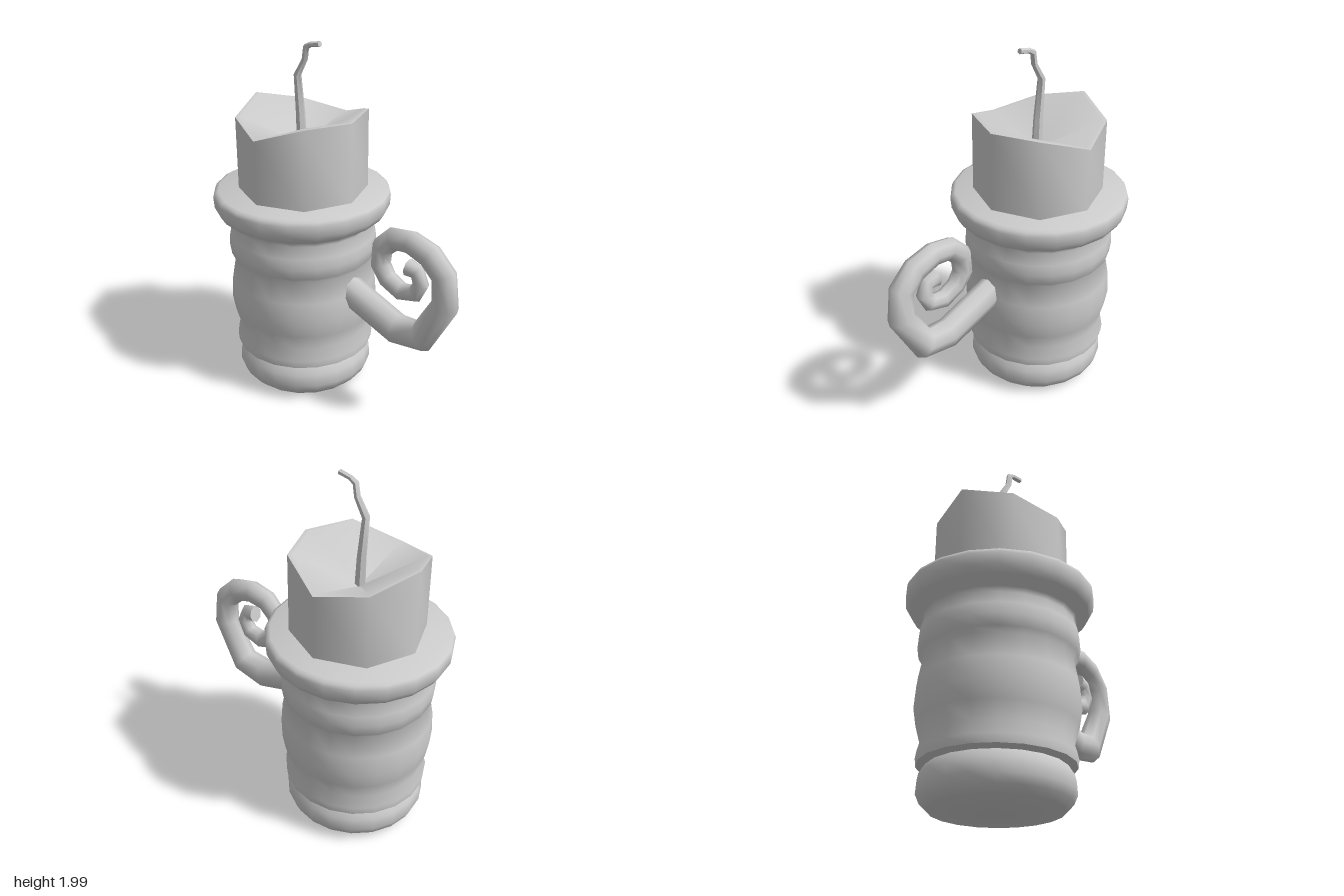
import * as THREE from 'three';
import { toCreasedNormals } from 'three/addons/utils/BufferGeometryUtils.js';

const AXIS_X = -0.29; // centre line of holder and candle

function makeMesh(name, geometry, crease) {
  const material = new THREE.MeshStandardMaterial({ color: 0xcccccc });
  const mesh = new THREE.Mesh(toCreasedNormals(geometry, crease), material);
  mesh.name = name;
  return mesh;
}

// Joins equal rings of points; caps either end with a fan to a centre point
function skin(rings, startCentre, endCentre) {
  const n = rings[0].length;
  const points = rings.flat();
  const index = [];
  for (let i = 0; i < rings.length - 1; i++) {
    for (let j = 0; j < n; j++) {
      const a = i * n + j, b = i * n + (j + 1) % n;
      index.push(a, b, a + n, b, b + n, a + n);
    }
  }
  const last = (rings.length - 1) * n;
  if (startCentre) {
    const c = points.push(startCentre) - 1;
    for (let j = 0; j < n; j++) index.push(c, (j + 1) % n, j);
  }
  if (endCentre) {
    const c = points.push(endCentre) - 1;
    for (let j = 0; j < n; j++) index.push(c, last + j, last + (j + 1) % n);
  }
  const geometry = new THREE.BufferGeometry().setFromPoints(points);
  geometry.setIndex(index);
  return geometry;
}

// Tapering tube along a path of [x, y, radius] in the plane z
function taperedTube(path, sides, z, depthScale) {
  const at = i => new THREE.Vector2(path[i][0], path[i][1]);
  const rings = path.map(([x, y, r], i) => {
    const before = i > 0 ? at(i).sub(at(i - 1)).normalize() : new THREE.Vector2();
    const after = i < path.length - 1 ? at(i + 1).sub(at(i)).normalize() : new THREE.Vector2();
    const t = before.add(after).normalize();
    return Array.from({ length: sides }, (_, j) => {
      const a = (j / sides) * Math.PI * 2;
      const c = Math.cos(a) * r;
      return new THREE.Vector3(x - t.y * c, y + t.x * c, z + Math.sin(a) * r * depthScale);
    });
  });
  const centre = p => new THREE.Vector3(p[0], p[1], z);
  return skin(rings, centre(path[0]), centre(path[path.length - 1]));
}

export function createModel() {
  const model = new THREE.Group();

  // Turned holder with foot, belly, collar and wide rim
  const profile = [
    [0, 0.005], [0.33, 0.025], [0.365, 0.06], [0.385, 0.105], [0.38, 0.175], [0.35, 0.222],
    [0.39, 0.236], [0.395, 0.28], [0.375, 0.35], [0.4, 0.44], [0.416, 0.535], [0.408, 0.65],
    [0.385, 0.775], [0.405, 0.8], [0.414, 0.86], [0.41, 0.92], [0.388, 0.985],
    [0.4, 1.01], [0.46, 1.045], [0.485, 1.085], [0.49, 1.145], [0.482, 1.165], [0.462, 1.175],
    [0, 1.175],
  ].map(([r, y]) => new THREE.Vector2(r, y));
  const holder = makeMesh('holder', new THREE.LatheGeometry(profile, 20), 0.95);
  holder.position.x = AXIS_X;
  model.add(holder);

  // Eight-sided candle with an uneven melted rim and a hollow top
  const rimHeights = [1.612, 1.612, 1.525, 1.575, 1.638, 1.575, 1.525, 1.612];
  const candleRing = (radius, height) => rimHeights.map((h, k) => {
    const a = (-k / 8) * Math.PI * 2;
    return new THREE.Vector3(Math.cos(a) * radius, height(h), Math.sin(a) * radius);
  });
  const candle = makeMesh('candle', skin([
    candleRing(0.355, () => 1.15),
    candleRing(0.355, h => h),
    candleRing(0.328, h => h + 0.002),
  ], null, new THREE.Vector3(0, 1.42, 0)), 0.9);
  candle.position.x = -0.28;
  model.add(candle);

  // Bent wick
  model.add(makeMesh('wick', taperedTube([
    [-0.275, 1.4, 0.03], [-0.28, 1.58, 0.026], [-0.298, 1.8, 0.021],
    [-0.243, 1.89, 0.017], [-0.232, 1.955, 0.017], [-0.2, 1.972, 0.014], [-0.135, 1.984, 0.015],
  ], 6, 0.01, 1), 0.9));

  // Handle curling into a spiral
  model.add(makeMesh('spiralHandle', taperedTube([
    [0.0, 0.685, 0.09], [0.405, 0.545, 0.088], [0.57, 0.565, 0.085], [0.705, 0.8, 0.075],
    [0.69, 0.96, 0.07], [0.6, 1.045, 0.069], [0.48, 1.08, 0.065], [0.37, 1.065, 0.063],
    [0.295, 0.995, 0.061], [0.285, 0.89, 0.058], [0.335, 0.82, 0.054], [0.425, 0.78, 0.052],
    [0.515, 0.8, 0.048], [0.55, 0.865, 0.045], [0.525, 0.925, 0.044], [0.465, 0.935, 0.05],
  ], 8, 0.005, 0.85), 1.1));

  return model;
}
